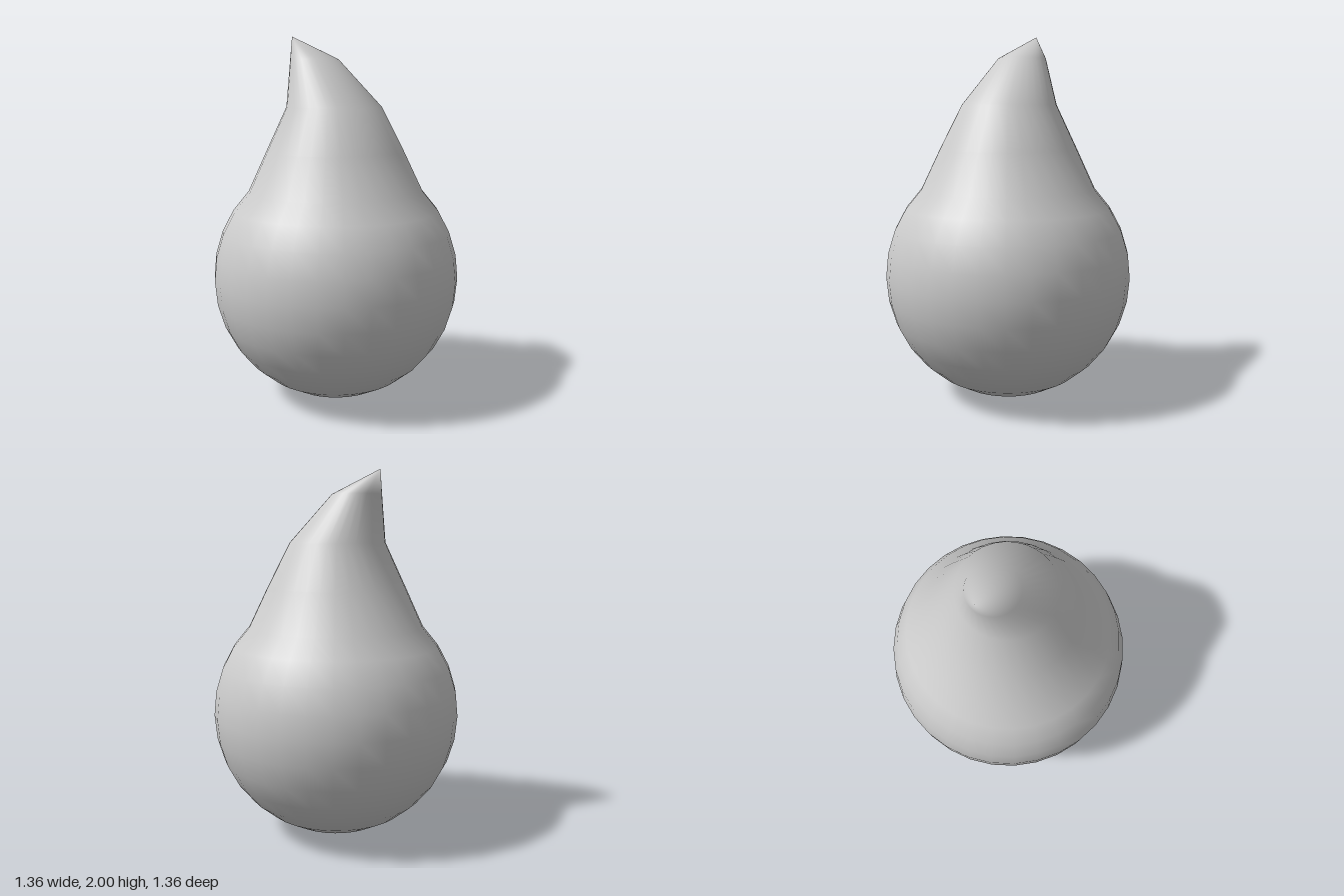
import * as THREE from 'three';
import { mergeVertices } from 'three/addons/utils/BufferGeometryUtils.js';

const R = 0.68;
const ROWS = 16;

// Sphere rows pulled up into the bent tip, counted from the top pole
const PULLED = [
  { y: 2.0, shift: -0.28 },
  { y: 1.875, shift: -0.135 },
  { y: 1.62, shift: -0.01 },
  { y: 1.38, shift: -0.003 },
];

export function createModel() {
  const group = new THREE.Group();
  group.name = 'droplet';

  let geometry = new THREE.SphereGeometry(R, 32, ROWS);
  geometry.translate(0, R, 0);

  // Stretch the top rows upward and lean the tip to the right side
  const pos = geometry.attributes.position;
  for (let i = 0; i < pos.count; i++) {
    const polar = Math.acos(THREE.MathUtils.clamp((pos.getY(i) - R) / R, -1, 1));
    const pulled = PULLED[Math.round((polar / Math.PI) * ROWS)];
    if (pulled) {
      pos.setX(i, pos.getX(i) + pulled.shift);
      pos.setY(i, pulled.y);
    }
  }

  // Weld the seam and poles for smooth shading
  geometry.deleteAttribute('uv');
  geometry.deleteAttribute('normal');
  geometry = mergeVertices(geometry, 1e-4);
  geometry.computeVertexNormals();

  const body = new THREE.Mesh(geometry, new THREE.MeshStandardMaterial({ color: 0xcccccc }));
  body.name = 'dropletBody';
  group.add(body);
  return group;
}
